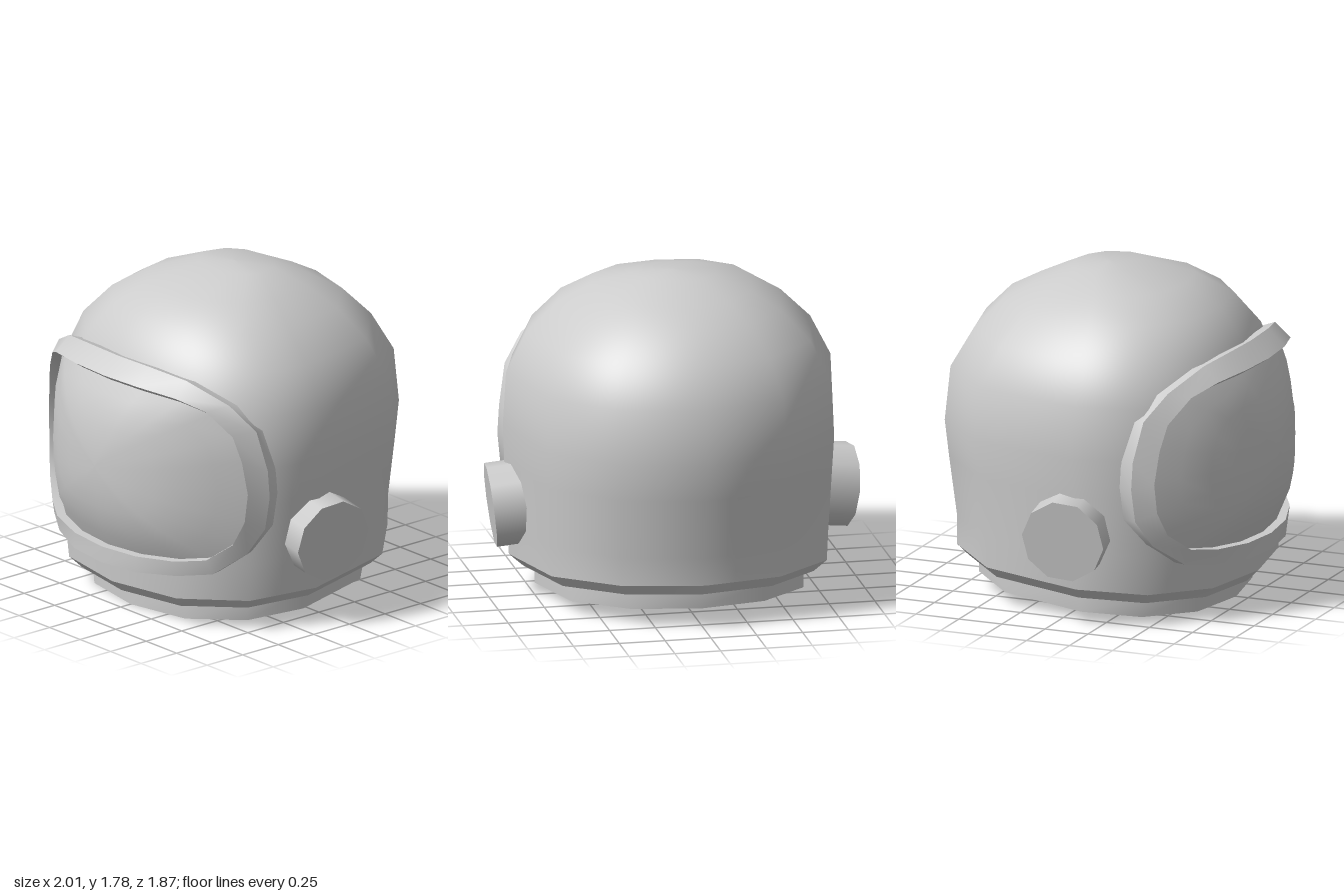
import * as THREE from 'three';

const grey = (side = THREE.FrontSide) => new THREE.MeshStandardMaterial({ color: 0xcccccc, side });

// Smooth surface through closed rows of points; k subdivides each cell, keep() can cut holes.
function loft(rows, k = 1, keep = () => true) {
  const n = rows[0].length, m = rows.length;
  const coarse = new THREE.BufferGeometry();
  coarse.setAttribute('position', new THREE.Float32BufferAttribute(rows.flat(2), 3));
  const idx = [];
  for (let r = 0; r < m - 1; r++) for (let c = 0; c < n; c++) {
    const a = r * n + c, t = r * n + (c + 1) % n;
    idx.push(a, a + n, t, t, a + n, t + n);
  }
  coarse.setIndex(idx);
  coarse.computeVertexNormals();
  if (k === 1) return coarse;

  const P = coarse.attributes.position, N = coarse.attributes.normal;
  const pos = [], nor = [], tri = [];
  const sample = (attr, i, j) => {
    const r = Math.min(Math.floor(i / k), m - 2), c = Math.floor(j / k) % n;
    const u = i / k - r, v = (j % k) / k, d = (c + 1) % n;
    const get = (row, col) => new THREE.Vector3().fromBufferAttribute(attr, row * n + col);
    return get(r, c).lerp(get(r, d), v).lerp(get(r + 1, c).lerp(get(r + 1, d), v), u);
  };
  const H = (m - 1) * k, W = n * k;
  for (let i = 0; i <= H; i++) for (let j = 0; j < W; j++) {
    pos.push(...sample(P, i, j).toArray());
    nor.push(...sample(N, i, j).normalize().toArray());
  }
  for (let i = 0; i < H; i++) for (let j = 0; j < W; j++) {
    const a = i * W + j, t = i * W + (j + 1) % W;
    const mid = [0, 1, 2].map(q => (pos[a * 3 + q] + pos[(t + W) * 3 + q]) / 2);
    if (keep(...mid)) tri.push(a, a + W, t, t, a + W, t + W);
  }
  const g = new THREE.BufferGeometry();
  g.setAttribute('position', new THREE.Float32BufferAttribute(pos, 3));
  g.setAttribute('normal', new THREE.Float32BufferAttribute(nor, 3));
  g.setIndex(tri);
  return g;
}

// Twelve-sided plan, from the back round the left side to the front, then mirrored
const halfPlan = [[0, -1], [0.5, -0.875], [0.867, -0.503], [1, 0.175], [0.87, 0.615], [0.51, 0.91], [0, 1]];
const mirror = pts => [...pts, ...pts.slice(1, -1).reverse().map(([x, ...rest]) => [-x, ...rest])];
const plan = mirror(halfPlan);

// A ring: half width, back z and y, front z and y
const ring = ([w, zb, yb, zf, yf]) => plan.map(([u, v]) => {
  const t = (v + 1) / 2;
  return [u * w, yb + (yf - yb) * t, zb + (zf - zb) * t];
});

const shellRings = [
  [0.865, -0.86, 0.25, 0.81, 0.16],
  [0.875, -0.857, 0.4, 0.82, 0.38],
  [0.89, -0.905, 0.73, 0.84, 0.7],
  [0.9, -0.93, 0.93, 0.84, 0.92],
  [0.885, -0.895, 1.23, 0.80, 1.2],
  [0.775, -0.77, 1.44, 0.72, 1.42],
  [0.61, -0.62, 1.59, 0.59, 1.59],
  [0.44, -0.45, 1.68, 0.39, 1.705],
  [0.23, -0.25, 1.768, 0.11, 1.775],
  [0, -0.05, 1.78, -0.05, 1.78],
];

// Neck section from the inside shelf, round the collar, out to the shell's lower rim
const neckRings = [
  [0.83, -0.82, 0.29, 0.77, 0.2],
  [0.6, -0.62, 0.27, 0.56, 0.19],
  [0.6, -0.62, 0.083, 0.56, 0.008],
  [0.73, -0.745, 0.09, 0.68, 0],
  [0.73, -0.745, 0.185, 0.68, 0.1],
  [0.79, -0.80, 0.185, 0.745, 0.095],
  [0.865, -0.86, 0.25, 0.81, 0.16],
];

// Visor frame, top centre to bottom centre: outer edge then front inner edge
const outerHalf = [[0, 1.43, 0.77], [0.25, 1.43, 0.76], [0.48, 1.4, 0.7], [0.7, 1.29, 0.585], [0.81, 1.15, 0.49],
  [0.85, 0.93, 0.445], [0.86, 0.78, 0.44], [0.84, 0.6, 0.455], [0.78, 0.46, 0.53], [0.65, 0.34, 0.66],
  [0.48, 0.31, 0.77], [0.25, 0.29, 0.86], [0, 0.285, 0.885]];
const innerHalf = [[0, 1.34, 0.87], [0.25, 1.34, 0.855], [0.49, 1.32, 0.785], [0.63, 1.26, 0.69], [0.75, 1.13, 0.605],
  [0.79, 0.99, 0.575], [0.815, 0.81, 0.555], [0.8, 0.65, 0.565], [0.75, 0.52, 0.605], [0.63, 0.42, 0.69],
  [0.48, 0.395, 0.785], [0.25, 0.38, 0.86], [0, 0.375, 0.885]];
const inset = (pts, sx, sy, dz) => pts.map(([x, y, z]) =>
  [x * sx, y > 0.84 ? 0.84 + (y - 0.84) * sy : y, z - dz]);

export function createModel() {
  const model = new THREE.Group();
  const add = (parent, name, geo, side) => {
    const mesh = new THREE.Mesh(geo, grey(side));
    mesh.name = name;
    parent.add(mesh);
    return mesh;
  };

  // Domed shell, outside and inside, with the face opening cut out
  const keep = (x, y, z) => z < 0.2 ||
    (Math.abs(x) / 0.81) ** 3 + (Math.abs(y - 0.845) / 0.505) ** 3 > 1;
  add(model, 'shell', loft(shellRings.map(ring), 10, keep));
  const s = 0.965, lift = y => 0.9 + (y - 0.9) * s;
  const lining = shellRings.map(([w, zb, yb, zf, yf]) => [w * s, zb * s, lift(yb), zf * s, lift(yf)]);
  add(model, 'shellLining', loft(lining.map(ring), 10, keep), THREE.BackSide);

  // Neck collar and bevelled rim, one band per face so the edges stay sharp
  const collar = new THREE.Group();
  collar.name = 'neckCollar';
  ['innerShelf', 'innerWall', 'bottomFace', 'outerWall', 'rimUnderside', 'rimBevel'].forEach((name, i) =>
    add(collar, name, loft([ring(neckRings[i]), ring(neckRings[i + 1])])));
  model.add(collar);

  // Raised frame round the face opening
  const outer = mirror(outerHalf), inner = mirror(innerHalf);
  const seat = inset(inner, 0.97, 0.93, 0.05);
  const section = [inset(outer, 0.965, 0.95, 0.08), outer, inner, seat];
  const frame = new THREE.Group();
  frame.name = 'visorFrame';
  ['outerSide', 'frontFace', 'innerSide', 'backFace'].forEach((name, i) =>
    add(frame, name, loft([section[i], section[(i + 1) % 4]])));
  model.add(frame);

  // Bulging visor: the frame's seat shrunk towards a raised centre
  const bulge = [1, 0.85, 0.68, 0.5, 0.3, 0.12, 0].map(f => seat.map(([x, y, z]) =>
    [x * f, 0.84 + (y - 0.84) * f, 0.935 + (z - 0.935) * f ** 2.4]));
  add(model, 'visor', loft(bulge), THREE.DoubleSide);

  // Ten-sided ear pods, tilted slightly down and forward
  for (const side of [1, -1]) {
    const axis = new THREE.Vector3(side, -0.12, 0.1).normalize();
    const pod = add(model, side > 0 ? 'leftEarPod' : 'rightEarPod',
      new THREE.CylinderGeometry(0.228, 0.228, 0.22, 10));
    pod.quaternion.setFromUnitVectors(new THREE.Vector3(0, 1, 0), axis);
    pod.position.set(side * 0.972, 0.485, 0.09).addScaledVector(axis, -0.11);
  }
  return model;
}
